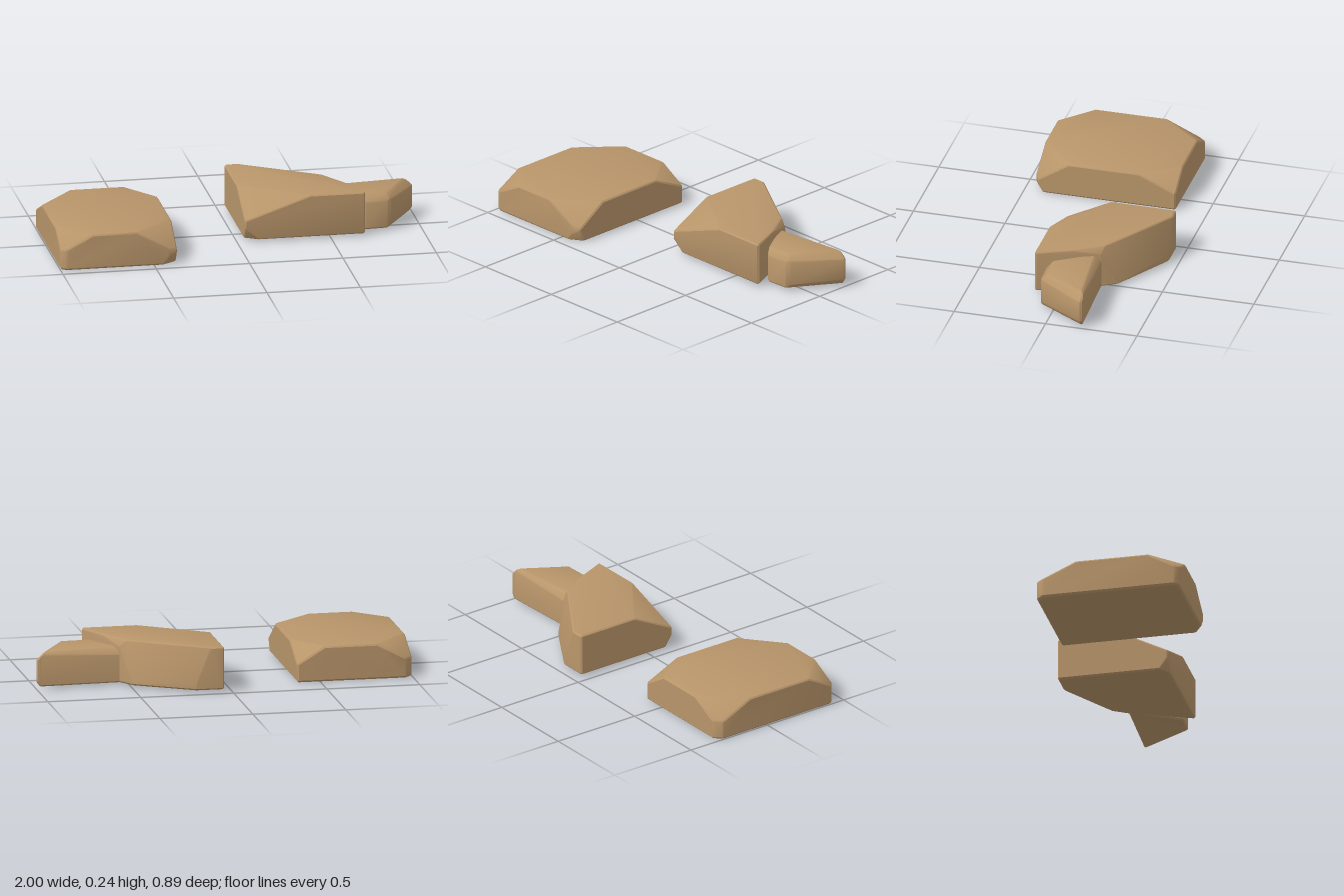
import * as THREE from 'three';
import { ConvexGeometry } from 'three/addons/geometries/ConvexGeometry.js';
import { toCreasedNormals } from 'three/addons/utils/BufferGeometryUtils.js';

const material = new THREE.MeshStandardMaterial({ color: 0xb8956a });
const vec = (p) => new THREE.Vector3(...p);

// A block with an [x, z] outline, sliced by planes through three [x, y, z] points, all edges bevelled
function chippedStone(name, { outline, bottom, top, cuts, bevel }) {
  const centre = new THREE.Vector3();
  outline.forEach(([x, z]) => centre.add(new THREE.Vector3(x, (bottom + top) / 2, z)));
  centre.divideScalar(outline.length);

  const planeThrough = (a, b, c) => {
    const plane = new THREE.Plane().setFromCoplanarPoints(vec(a), vec(b), vec(c));
    return plane.distanceToPoint(centre) > 0 ? plane.negate() : plane;
  };
  const planes = [
    new THREE.Plane(new THREE.Vector3(0, 1, 0), -top),
    new THREE.Plane(new THREE.Vector3(0, -1, 0), bottom),
    ...outline.map(([x, z], i) => {
      const [x2, z2] = outline[(i + 1) % outline.length];
      return planeThrough([x, bottom, z], [x2, bottom, z2], [x, top, z]);
    }),
    ...cuts.map((cut) => planeThrough(...cut)),
  ];
  planes.forEach((plane) => { plane.constant += bevel; });

  // Corners of the inset solid, each pushed back out along the faces it touches
  const points = new Map();
  const matrix = new THREE.Matrix3();
  for (let i = 0; i < planes.length; i++)
    for (let j = i + 1; j < planes.length; j++)
      for (let k = j + 1; k < planes.length; k++) {
        const trio = [planes[i], planes[j], planes[k]];
        matrix.set(...trio.flatMap((p) => p.normal.toArray()));
        if (Math.abs(matrix.determinant()) < 1e-4) continue;
        const corner = vec(trio.map((p) => -p.constant)).applyMatrix3(matrix.invert());
        if (planes.some((p) => p.distanceToPoint(corner) > 1e-6)) continue;
        trio.forEach((p) => {
          const point = corner.clone().addScaledVector(p.normal, bevel);
          points.set(point.toArray().map((n) => n.toFixed(4)).join(), point);
        });
      }

  const geometry = toCreasedNormals(new ConvexGeometry([...points.values()]), 0.5);
  const mesh = new THREE.Mesh(geometry, material);
  mesh.name = name;
  return mesh;
}

export function createModel() {
  const group = new THREE.Group();
  group.name = 'flatStones';

  // Wide slab with all four upper corners chipped
  group.add(chippedStone('wideSlab', {
    bottom: 0.004, top: 0.195, bevel: 0.01,
    outline: [[-1, -0.29], [-0.96, -0.33], [-0.375, -0.33], [-0.375, 0.425],
      [-0.42, 0.443], [-0.97, 0.443], [-1, 0.42]],
    cuts: [
      [[-0.375, 0.195, 0.25], [-0.6, 0.195, 0.443], [-0.375, 0.07, 0.443]],
      [[-0.375, 0, 0.39], [-0.46, 0, 0.443], [-0.375, 0.1, 0.443]],
      [[-1, 0.195, 0.27], [-0.82, 0.195, 0.443], [-1, 0.1, 0.443]],
      [[-1, 0.195, -0.1], [-0.8, 0.195, -0.33], [-1, 0.09, -0.33]],
      [[-0.375, 0.195, -0.12], [-0.53, 0.195, -0.33], [-0.375, 0.1, -0.33]],
    ],
  }));

  // Tall wedge with a sloping back and a chipped front corner
  group.add(chippedStone('tallWedge', {
    bottom: 0.015, top: 0.245, bevel: 0.008,
    outline: [[0.04, -0.45], [0.19, -0.45], [0.52, -0.25], [0.55, -0.18],
      [0.715, 0.08], [0.715, 0.148], [0.04, 0.148]],
    cuts: [
      [[0.11, 0.245, -0.45], [0.47, 0.245, -0.22], [0.52, 0.015, -0.25]],
      [[0.52, 0.245, -0.18], [0.68, 0.245, 0.08], [0.715, 0.2, 0.08]],
      [[0.04, 0.245, -0.1], [0.4, 0.245, 0.148], [0.04, 0.12, 0.148]],
      [[0.04, 0.085, 0.148], [0.12, 0.015, 0.148], [0.04, 0.015, 0.1]],
    ],
  }));

  // Small wedge resting against the tall one
  group.add(chippedStone('smallWedge', {
    bottom: 0.015, top: 0.202, bevel: 0.008,
    outline: [[0.52, -0.18], [0.98, -0.198], [1, -0.195], [0.995, -0.175],
      [0.845, 0.055], [0.82, 0.075], [0.7, 0.082], [0.68, 0.07]],
    cuts: [
      [[0.53, 0.202, -0.14], [1, 0.202, -0.185], [0.53, 0.165, -0.18]],
      [[0.68, 0.202, 0.045], [0.82, 0.202, 0.04], [0.7, 0.165, 0.082]],
      [[0.955, 0.202, -0.19], [0.815, 0.202, 0.045], [1, 0.16, -0.19]],
      [[0.98, 0.015, -0.19], [0.83, 0.015, 0.05], [1, 0.04, -0.19]],
    ],
  }));

  return group;
}
